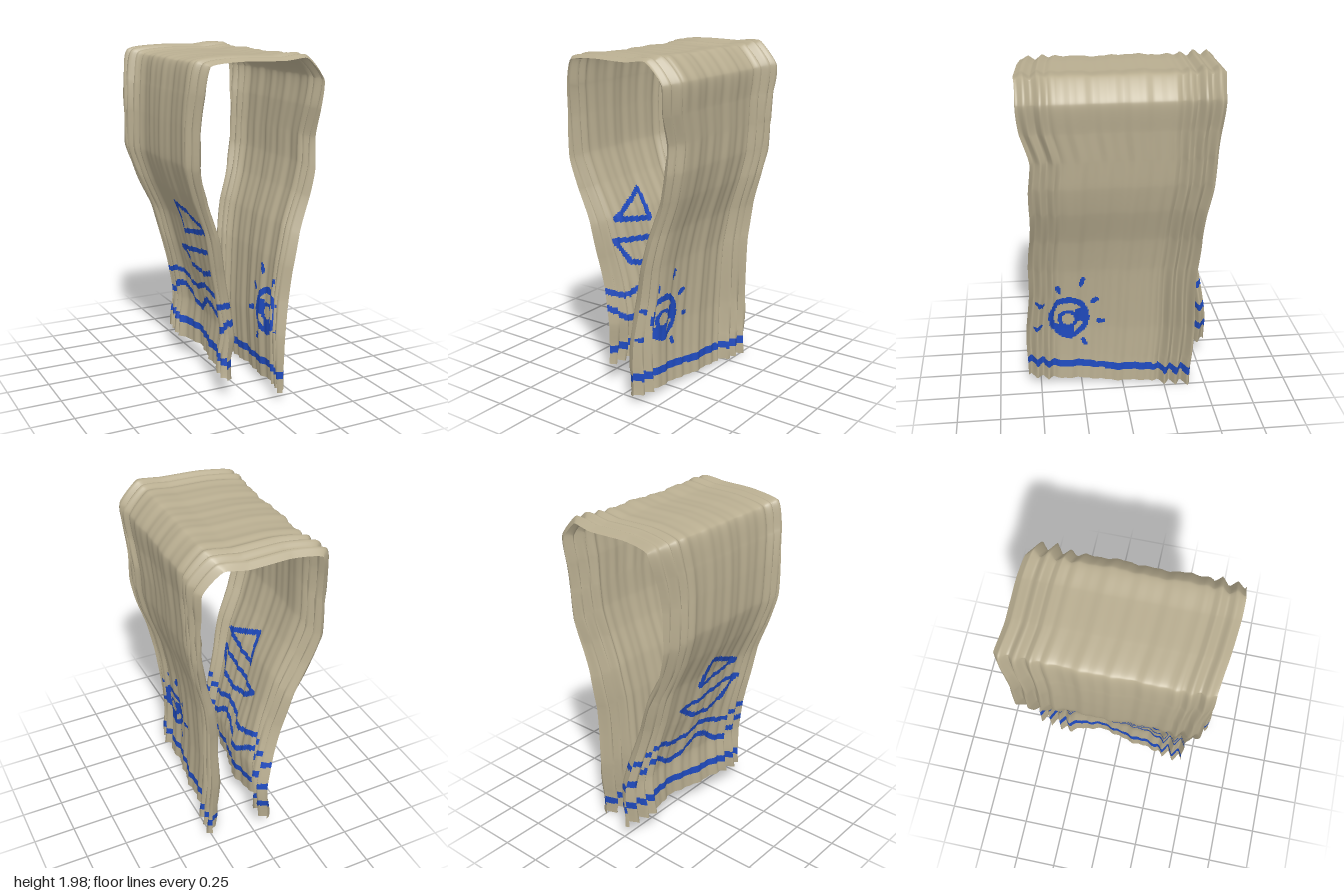
import * as THREE from 'three';

// Distance from a point to a polyline of [z, y] points
function strokeDistance(z, y, pts) {
  let best = Infinity;
  for (let i = 0; i < pts.length - 1; i++) {
    const [az, ay] = pts[i], [bz, by] = pts[i + 1];
    const dz = bz - az, dy = by - ay;
    const k = THREE.MathUtils.clamp(((z - az) * dz + (y - ay) * dy) / (dz * dz + dy * dy), 0, 1);
    best = Math.min(best, Math.hypot(z - az - k * dz, y - ay - k * dy));
  }
  return best;
}

const sail = [[0.0, 1.11], [0.28, 0.985], [-0.03, 0.925], [0.0, 1.11]];
const hull = [[0.31, 0.865], [-0.15, 0.795], [-0.05, 0.72], [0.1, 0.685], [0.22, 0.72], [0.31, 0.865]];
const rays = [[0.24, 0.715], [0.38, 0.665], [0.49, 0.56], [0.505, 0.4], [0.23, 0.3], [0.13, 0.445], [0.165, 0.59]];

// Sun and hem stripe on the left panel
function sunPanel(z, y) {
  if (Math.abs(y - 0.133 - 0.07 * z) < 0.023) return true;
  const ring = Math.hypot((z - 0.32) / 0.122, (y - 0.475) / 0.143);
  if (ring < 1 && ring > 0.74) return true;
  const inner = Math.hypot(z - 0.325, y - 0.465);
  if (inner < 0.062 && inner > 0.038) return true;
  // Swirl joining the two rings
  if (ring < 0.8 && inner > 0.038 && y < 0.43 && z > 0.29) return true;
  if (ring < 0.8 && inner > 0.038 && z < 0.28 && y > 0.44 && y < 0.53) return true;
  return rays.some(([rz, ry]) => {
    const dz = (rz - 0.32) * 0.07, dy = (ry - 0.475) * 0.07;
    return strokeDistance(z, y, [[rz - dz, ry - dy], [rz + dz, ry + dy]]) < 0.014;
  });
}

// Boat, waves and hem stripe on the right panel
function boatPanel(z, y) {
  const wave = Math.cos((z - 0.08) * 15.7);
  return Math.abs(y - 0.245 + 0.03 * z) < 0.023
    || Math.abs(y - 0.57 - 0.03 * wave) < 0.018
    || Math.abs(y - 0.45 - 0.055 * wave) < 0.02
    || [sail, hull].some((line) => strokeDistance(z, y, line) < 0.016);
}

// Rows from one hem over the top to the other: x, y, back z, front z
const rows = [
  [0.195, 0.035, -0.41, 0.575],
  [0.185, 0.2, -0.42, 0.58],
  [0.18, 0.4, -0.425, 0.57],
  [0.19, 0.6, -0.43, 0.56],
  [0.205, 0.8, -0.43, 0.55],
  [0.24, 1.0, -0.45, 0.54],
  [0.3, 1.2, -0.47, 0.535],
  [0.332, 1.36, -0.49, 0.53],
  [0.342, 1.52, -0.51, 0.525],
  [0.35, 1.68, -0.52, 0.565],
  [0.36, 1.85, -0.54, 0.585],
  [0.25, 1.97, -0.56, 0.59],
  [0.1, 1.962, -0.57, 0.58],
  [-0.13, 1.965, -0.575, 0.565],
  [-0.315, 1.94, -0.59, 0.535],
  [-0.35, 1.78, -0.56, 0.53],
  [-0.36, 1.6, -0.54, 0.515],
  [-0.355, 1.38, -0.53, 0.5],
  [-0.3, 1.2, -0.52, 0.49],
  [-0.215, 1.0, -0.51, 0.47],
  [-0.165, 0.8, -0.5, 0.45],
  [-0.115, 0.6, -0.52, 0.44],
  [-0.08, 0.4, -0.54, 0.435],
  [-0.09, 0.27, -0.56, 0.435],
  [-0.1, 0.14, -0.55, 0.435],
];

// Shallow folds across the middle, sharp pleats close to the side edges
function fold(w, t) {
  const edge = 0.75 * THREE.MathUtils.smoothstep(w, 0.8, 0.88) + 1 - THREE.MathUtils.smoothstep(w, 0.12, 0.28);
  const broad = Math.sin(w * 17 + 1.3 * Math.sin(t * 5)) * 0.2 + Math.sin(w * 41 + 2 + t * 4) * 0.15;
  const tight = Math.asin(Math.sin(w * 88 + Math.sin(t * 9) * 1.5)) / 1.57;
  return broad + tight * (0.12 + edge);
}

// Smooth bump of width s around the value c
const bump = (v, c, s) => Math.exp(-(((v - c) / s) ** 2));

function clothGeometry() {
  const curve = (point) => new THREE.CatmullRomCurve3(rows.map(point), false, 'catmullrom', 0.3);
  const path = curve(([x, y]) => new THREE.Vector3(x, y, 0));
  const edges = curve(([, , back, front]) => new THREE.Vector3(back, front, 0));
  const nV = (rows.length - 1) * 24, nW = 120;
  const positions = [];
  for (let i = 0; i <= nV; i++) {
    const t = i / nV;
    const p = path.getPoint(t), e = edges.getPoint(t), tan = path.getTangent(t);
    // The hanging ends lean and fold more than the top
    const low = 1 - THREE.MathUtils.smoothstep(p.y, 0.2, 1.4);
    const depth = 0.014 + Math.abs(tan.y) * (0.01 + 0.012 * low);
    const wobble = 0.005 * Math.sin(t * 60);
    const hem = Math.max(0, 1 - p.y / 0.7);
    for (let j = 0; j <= nW; j++) {
      const z = THREE.MathUtils.lerp(e.x + wobble, e.y - wobble, j / nW);
      const d = depth * fold(j / nW, t);
      const hang = p.x > 0 ? 0.06 * z * hem : 0;
      const pleat = p.x < 0 ? hem * (0.055 * bump(z, -0.08, 0.13) - 0.03 * bump(z, -0.34, 0.07)) : 0;
      positions.push(p.x + tan.y * d - 0.09 * low * z + pleat, p.y - tan.x * d + hang, z);
    }
  }
  // Sort the cells into plain and painted faces
  const plain = [], painted = [];
  for (let i = 0; i < nV; i++) {
    for (let j = 0; j < nW; j++) {
      const a = i * (nW + 1) + j, b = a + 1, c = a + nW + 1, d = c + 1;
      const mid = (n) => (positions[a * 3 + n] + positions[d * 3 + n]) / 2;
      const isBlue = i < nV / 2 ? sunPanel : boatPanel;
      (isBlue(mid(2), mid(1)) ? painted : plain).push(a, c, b, b, c, d);
    }
  }
  const geo = new THREE.BufferGeometry();
  geo.setAttribute('position', new THREE.Float32BufferAttribute(positions, 3));
  geo.setIndex([...plain, ...painted]);
  geo.addGroup(0, plain.length, 0);
  geo.addGroup(plain.length, painted.length, 1);
  geo.computeVertexNormals();
  // Stand on the ground, centred
  geo.computeBoundingBox();
  const box = geo.boundingBox, c = box.getCenter(new THREE.Vector3());
  return geo.translate(-c.x, -box.min.y, -c.z);
}

export function createModel() {
  const group = new THREE.Group();
  group.name = 'drapedTowel';
  const sand = new THREE.MeshStandardMaterial({ color: 0xb8ad90, side: THREE.DoubleSide });
  sand.name = 'sand cloth';
  const blue = new THREE.MeshStandardMaterial({ color: 0x1f4bc0, side: THREE.DoubleSide });
  blue.name = 'blue print';
  const cloth = new THREE.Mesh(clothGeometry(), [sand, blue]);
  cloth.name = 'towelCloth';
  group.add(cloth);
  return group;
}
